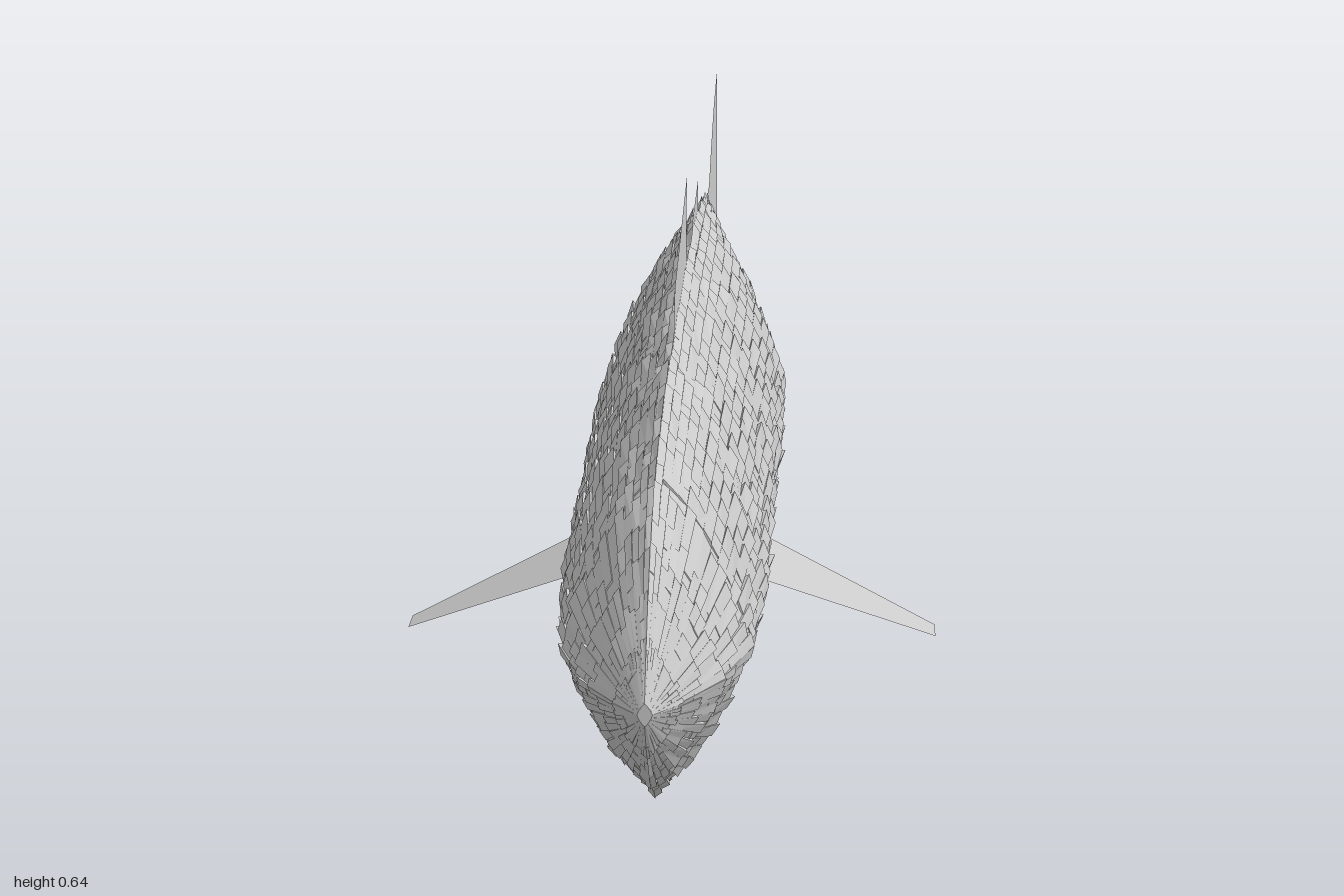
import * as THREE from 'three';

const SEGS = 56, RINGS = 30;
const MID = 0.288; // height of the widest line

// body stations: z, top height, bottom height, half width
const STATIONS = [
  [1.0, 0.3, 0.275, 0.008], [0.97, 0.35, 0.23, 0.034], [0.9, 0.42, 0.168, 0.076],
  [0.8, 0.475, 0.115, 0.102], [0.6, 0.505, 0.072, 0.114], [0.25, 0.515, 0.062, 0.119],
  [-0.05, 0.515, 0.064, 0.123], [-0.22, 0.505, 0.074, 0.118], [-0.4, 0.485, 0.092, 0.088],
  [-0.54, 0.465, 0.112, 0.05], [-0.61, 0.445, 0.135, 0.03], [-0.64, 0.44, 0.14, 0.028],
];

function seeded(seed) {
  return () => {
    seed = (seed * 16807) % 2147483647;
    return seed / 2147483647;
  };
}

function station(z) {
  let i = 0;
  while (i < STATIONS.length - 2 && z < STATIONS[i + 1][0]) i++;
  const a = STATIONS[i], b = STATIONS[i + 1];
  const t = THREE.MathUtils.clamp((a[0] - z) / (a[0] - b[0]), 0, 1);
  return a.map((v, k) => v + (b[k] - v) * t);
}

// point on the bulging diamond cross-section; s counts from +x towards +y
function skin(z, s, scale) {
  const [, top, bottom, width] = station(z);
  const turn = (((s / SEGS) * 4) % 4 + 4) % 4;
  const quarter = Math.floor(turn), f = turn - quarter;
  const u = quarter % 2 ? 1 - f : f;
  const k = scale * (1 + 0.15 * Math.sin(Math.PI * u));
  const x = (quarter === 0 || quarter === 3 ? 1 : -1) * (1 - u) * width * k;
  const y = (quarter < 2 ? top - MID : bottom - MID) * u * k;
  return [x, MID + y, z];
}

const ringZ = (i) => 1 - 1.61 * Math.pow(i / RINGS, 1.25);

function geometryFrom(positions) {
  const g = new THREE.BufferGeometry();
  g.setAttribute('position', new THREE.Float32BufferAttribute(positions, 3));
  g.computeVertexNormals();
  return g;
}

const quad = (out, a, b, c, d) => out.push(...a, ...b, ...c, ...a, ...c, ...d);

// smooth core under the scales, closed at both ends
function coreGeometry() {
  const p = [];
  for (let s = 0; s < SEGS; s++) {
    for (let i = 0; i < RINGS; i++) {
      const z0 = ringZ(i), z1 = ringZ(i + 1);
      quad(p, skin(z0, s, 1), skin(z1, s, 1), skin(z1, s + 1, 1), skin(z0, s + 1, 1));
    }
    const z0 = ringZ(0), z1 = ringZ(RINGS);
    p.push(0, MID, z0, ...skin(z0, s, 1), ...skin(z0, s + 1, 1));
    p.push(0, MID, z1, ...skin(z1, s + 1, 1), ...skin(z1, s, 1));
  }
  return geometryFrom(p);
}

// rows of raised, tilted scale blocks
function scaleGeometry() {
  const p = [], rand = seeded(4711);
  for (let i = 0; i < RINGS; i++) {
    const rowLift = 0.02 * rand();
    for (let s = 0; s < SEGS; s++) {
      const z0 = ringZ(i);
      const z1 = Math.max(ringZ(i + 1) - (0.2 + 0.5 * rand()) * (z0 - ringZ(i + 1)), -0.615);
      const front = 1 + 0.035 * rand();
      const rear = 1.02 + rowLift + 0.06 * rand();
      const skew = 0.025 * (rand() - 0.5);
      const corners = [[z0, s, front], [z1, s, rear + skew], [z1, s + 1, rear - skew], [z0, s + 1, front]];
      const outer = corners.map((c) => skin(...c));
      const inner = corners.map(([z, u]) => skin(z, u, 0.97));
      quad(p, ...outer);
      for (let k = 0; k < 4; k++) {
        const n = (k + 1) % 4;
        quad(p, outer[k], inner[k], inner[n], outer[n]);
      }
    }
  }
  return geometryFrom(p);
}

export function createModel() {
  const model = new THREE.Group();
  model.name = 'fish';
  const bodyMaterial = new THREE.MeshStandardMaterial({ color: 0xcccccc, flatShading: true });
  const finMaterial = new THREE.MeshStandardMaterial({ color: 0xcccccc, side: THREE.DoubleSide });

  const add = (name, geometry, material) => {
    const mesh = new THREE.Mesh(geometry, material);
    mesh.name = name;
    model.add(mesh);
    return mesh;
  };

  add('bodyCore', coreGeometry(), bodyMaterial);
  add('scales', scaleGeometry(), bodyMaterial);

  // upright fins in the middle plane, outlined as [z, y]
  const uprightFin = (name, outline) => {
    const shape = new THREE.Shape(outline.map(([z, y]) => new THREE.Vector2(-z, y)));
    add(name, new THREE.ShapeGeometry(shape).rotateY(Math.PI / 2), finMaterial);
  };
  uprightFin('frontDorsalFin', [[0.42, 0.49], [0.37, 0.575], [0.06, 0.64], [0.085, 0.49]]);
  uprightFin('rearDorsalFin', [[-0.08, 0.49], [-0.105, 0.54], [-0.27, 0.557], [-0.265, 0.47]]);
  uprightFin('pelvicFin', [[0.3, 0.1], [0.27, 0.05], [0.24, 0.003], [0.2, 0], [0.2, 0.1]]);
  uprightFin('analFin', [[0.05, 0.09], [0.02, 0.045], [-0.21, 0.005], [-0.21, 0.11]]);
  uprightFin('tailFin', [
    [-0.58, 0.455], [-0.67, 0.455], [-0.75, 0.496], [-0.84, 0.535], [-0.92, 0.557], [-1, 0.572],
    [-1, 0.008], [-0.92, 0.022], [-0.84, 0.045], [-0.75, 0.084], [-0.67, 0.125], [-0.58, 0.125],
  ]);

  // side fins slope down and outwards
  for (const side of [1, -1]) {
    const p = [];
    const corner = (x, z) => [side * x, 0.28 - (x - 0.12) * 0.54, z];
    quad(p, corner(0.07, 0.61), corner(0.32, 0.475), corner(0.32, 0.437), corner(0.07, 0.437));
    if (side < 0) for (let k = 0; k < p.length; k += 9) {
      p.splice(k, 9, ...p.slice(k, k + 3), ...p.slice(k + 6, k + 9), ...p.slice(k + 3, k + 6));
    }
    add(side > 0 ? 'leftPectoralFin' : 'rightPectoralFin', geometryFrom(p), finMaterial);
  }
  return model;
}
